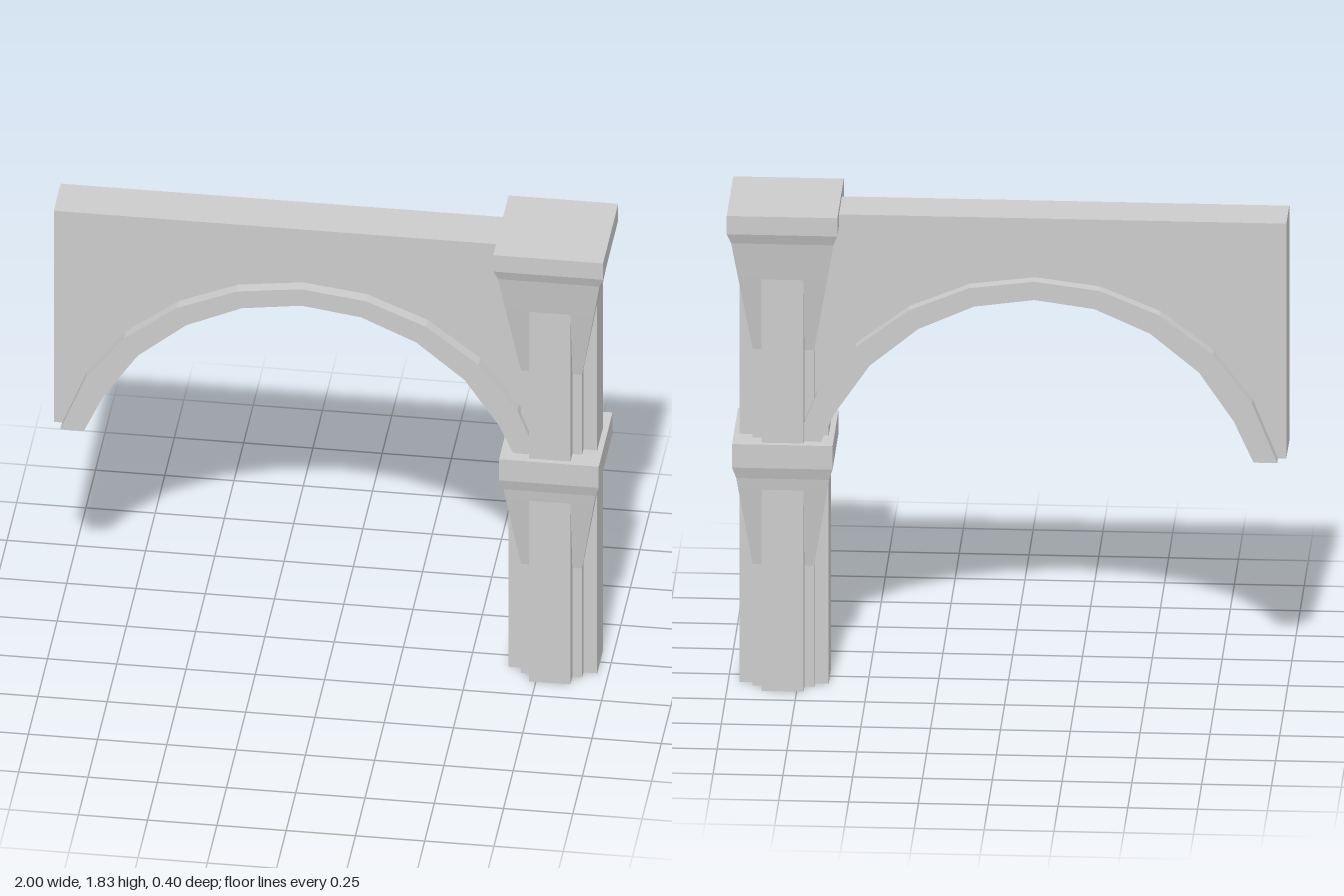
import * as THREE from 'three';

const material = new THREE.MeshStandardMaterial({ color: 0xcccccc, flatShading: true, side: THREE.DoubleSide });

const COLUMN_X = 0.8;
const ARCH_X = -0.1;
const ARM = 0.16, CORE = 0.11, ARM_WIDTH = 0.075; // half sizes of the pillar section

function addMesh(parent, name, geometry) {
  const mesh = new THREE.Mesh(geometry, material);
  mesh.name = name;
  parent.add(mesh);
  return mesh;
}

// Open walls of a cross-shaped pillar with stepped inner corners
function shaftGeometry(y0, y1) {
  const corner = [[ARM, ARM_WIDTH], [CORE, ARM_WIDTH], [CORE, CORE], [ARM_WIDTH, CORE], [ARM_WIDTH, ARM]];
  const outline = [];
  for (let q = 0; q < 4; q++) {
    for (const [a, b] of corner) {
      outline.push([[a, b], [-b, a], [-a, -b], [b, -a]][q]);
    }
  }
  const positions = [];
  outline.forEach(([x0, z0], i) => {
    const [x1, z1] = outline[(i + 1) % outline.length];
    positions.push(x0, y0, z0, x0, y1, z0, x1, y1, z1);
    positions.push(x0, y0, z0, x1, y1, z1, x1, y0, z1);
  });
  const geometry = new THREE.BufferGeometry();
  geometry.setAttribute('position', new THREE.Float32BufferAttribute(positions, 3));
  geometry.computeVertexNormals();
  return geometry;
}

// Four-sided flare, given as [half width, height] from bottom to top
function capitalGeometry(profile) {
  const points = profile.map(([h, y]) => new THREE.Vector2(h * Math.SQRT2, y));
  return new THREE.LatheGeometry(points, 4, Math.PI / 4).toNonIndexed();
}

// Mirrors the left half of an arch (springing to crown) about its centre line
function archCurve(half) {
  const right = half.slice(0, -1).reverse().map(([x, y]) => [-x, y]);
  return [...half, ...right].map(([x, y]) => new THREE.Vector2(x + ARCH_X, y));
}

function extrudeCentred(points, halfDepth) {
  const geometry = new THREE.ExtrudeGeometry(new THREE.Shape(points), { depth: 2 * halfDepth, bevelEnabled: false });
  return geometry.translate(0, 0, -halfDepth);
}

export function createModel() {
  const model = new THREE.Group();
  model.name = 'archAndPillar';

  // Pillar: two stacked shafts, each with a flared capital
  const pillar = new THREE.Group();
  pillar.name = 'pillar';
  pillar.position.x = COLUMN_X;
  model.add(pillar);

  addMesh(pillar, 'lowerShaft', shaftGeometry(0, 0.77));
  addMesh(pillar, 'lowerCapital', capitalGeometry([
    [CORE, 0.465], [ARM, 0.775], [0.166, 0.815], [0.18, 0.86], [0.18, 0.95], [0, 0.95],
  ]));
  addMesh(pillar, 'upperShaft', shaftGeometry(0.95, 1.575));
  addMesh(pillar, 'upperCapital', capitalGeometry([
    [CORE, 1.29], [ARM, 1.58], [0.183, 1.72], [0.198, 1.76], [0.198, 1.83], [0, 1.83],
  ]));

  // Arch: a thin wall resting on a wider rib
  const outer = archCurve([[-0.87, 0.905], [-0.78, 1.13], [-0.64, 1.315], [-0.45, 1.46], [-0.233, 1.55], [0, 1.58]]);
  const inner = archCurve([[-0.785, 0.905], [-0.715, 1.06], [-0.59, 1.245], [-0.415, 1.39], [-0.215, 1.48], [0, 1.51]]);

  const arch = new THREE.Group();
  arch.name = 'arch';
  arch.position.z = -0.003;
  model.add(arch);

  addMesh(arch, 'archRib', extrudeCentred([...outer, ...inner.slice().reverse()], 0.136));
  addMesh(arch, 'archWall', extrudeCentred([
    new THREE.Vector2(-1, 0.905), ...outer,
    new THREE.Vector2(COLUMN_X, 0.905), new THREE.Vector2(COLUMN_X, 1.805), new THREE.Vector2(-1, 1.805),
  ], 0.09));

  return model;
}
